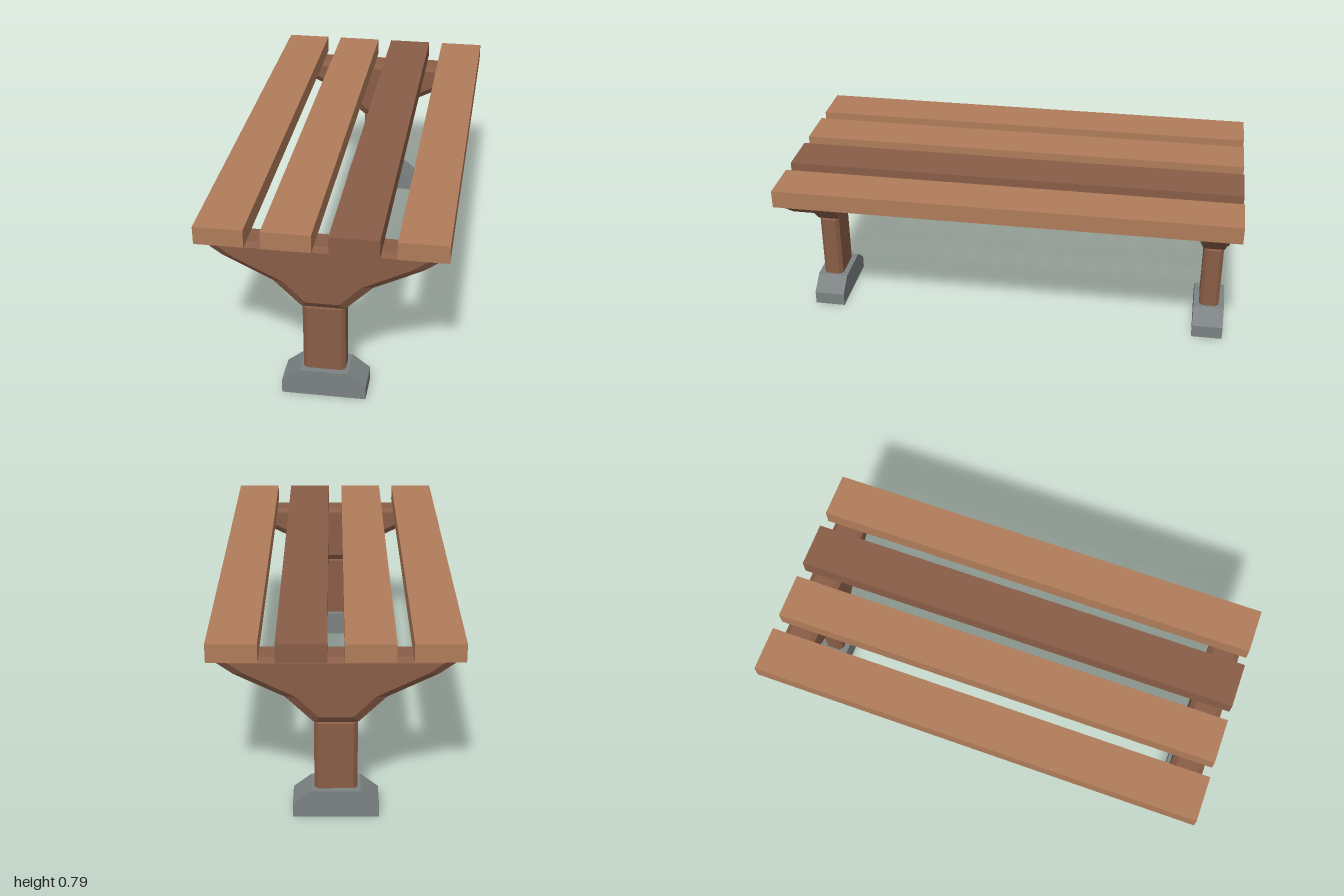
import * as THREE from 'three';

// Faceted solid lofted through matching counter-clockwise rings, listed from high z to low z
function loft(rings, depths) {
  const n = rings[0].length, last = rings.length - 1;
  const pos = [], idx = [];
  rings.forEach((ring, k) => ring.forEach(([x, y]) => pos.push(x, y, depths[k])));
  for (let k = 0; k < last; k++) {
    for (let i = 0; i < n; i++) {
      const j = (i + 1) % n;
      const a = k * n + i, b = k * n + j, c = a + n, d = b + n;
      idx.push(a, c, b, b, c, d);
    }
  }
  const cap = (ring) => THREE.ShapeUtils.triangulateShape(ring.map(([x, y]) => new THREE.Vector2(x, y)), []);
  for (const [a, b, c] of cap(rings[0])) idx.push(a, b, c);
  for (const [a, b, c] of cap(rings[last])) idx.push(last * n + a, last * n + c, last * n + b);
  const indexed = new THREE.BufferGeometry();
  indexed.setAttribute('position', new THREE.Float32BufferAttribute(pos, 3));
  indexed.setIndex(idx);
  const geo = indexed.toNonIndexed();
  geo.computeVertexNormals();
  return geo;
}

// Complete a right-hand profile (bottom to top) with its mirror image
const mirrored = (half) => [...half, ...half.slice().reverse().map(([x, y]) => [-x, y])];

// Octagonal plan of a chamfered rectangle
const chamfered = (w, d, c) => [
  [w - c, -d], [w, -d + c], [w, d - c], [w - c, d],
  [-w + c, d], [-w, d - c], [-w, -d + c], [-w + c, -d],
];

export function createModel() {
  const model = new THREE.Group();
  model.name = 'bench';
  const lightWood = new THREE.MeshStandardMaterial({ color: 0xb07c5a });
  lightWood.name = 'lightWood';
  const darkWood = new THREE.MeshStandardMaterial({ color: 0x895d47 });
  darkWood.name = 'darkWood';
  const concrete = new THREE.MeshStandardMaterial({ color: 0x7c8383 });
  concrete.name = 'concrete';

  const add = (parent, name, geometry, material) => {
    const mesh = new THREE.Mesh(geometry, material);
    mesh.name = name;
    parent.add(mesh);
    return mesh;
  };

  // Seat planks, one of them darker
  const plankGeo = new THREE.BoxGeometry(0.2, 0.077, 2);
  [-0.4, -0.1333, 0.1333, 0.4].forEach((x, i) => {
    add(model, 'seatPlank' + (i + 1), plankGeo, i === 2 ? darkWood : lightWood).position.set(x, 0.7515, 0);
  });

  // Flared bracket with chamfered edges
  const rim = mirrored([[0.087, 0.428], [0.1, 0.44], [0.2, 0.54], [0.4, 0.64], [0.5, 0.713]]);
  const face = mirrored([[0.062, 0.46], [0.07, 0.462], [0.156, 0.55], [0.355, 0.65], [0.417, 0.695]]);
  const bracketGeo = loft([face, rim, rim, face], [0.07, 0.047, -0.047, -0.07]);

  // Post with chamfered corners and top edge
  const postPlan = chamfered(0.0875, 0.045, 0.016);
  const postGeo = loft([chamfered(0.075, 0.034, 0.012), postPlan, postPlan], [0.432, 0.418, 0.115]);
  postGeo.rotateX(-Math.PI / 2);

  // Footing with sloped shoulders
  const footPlan = mirrored([[0.175, 0], [0.175, 0.06], [0.1, 0.12]]);
  const footGeo = loft([footPlan, footPlan], [0.07, -0.07]);

  // One leg at each end
  for (const [name, z] of [['frontLeg', 0.9], ['backLeg', -0.9]]) {
    const leg = new THREE.Group();
    leg.name = name;
    add(leg, 'bracket', bracketGeo, darkWood);
    add(leg, 'post', postGeo, darkWood);
    add(leg, 'footing', footGeo, concrete);
    leg.position.z = z;
    model.add(leg);
  }
  return model;
}
